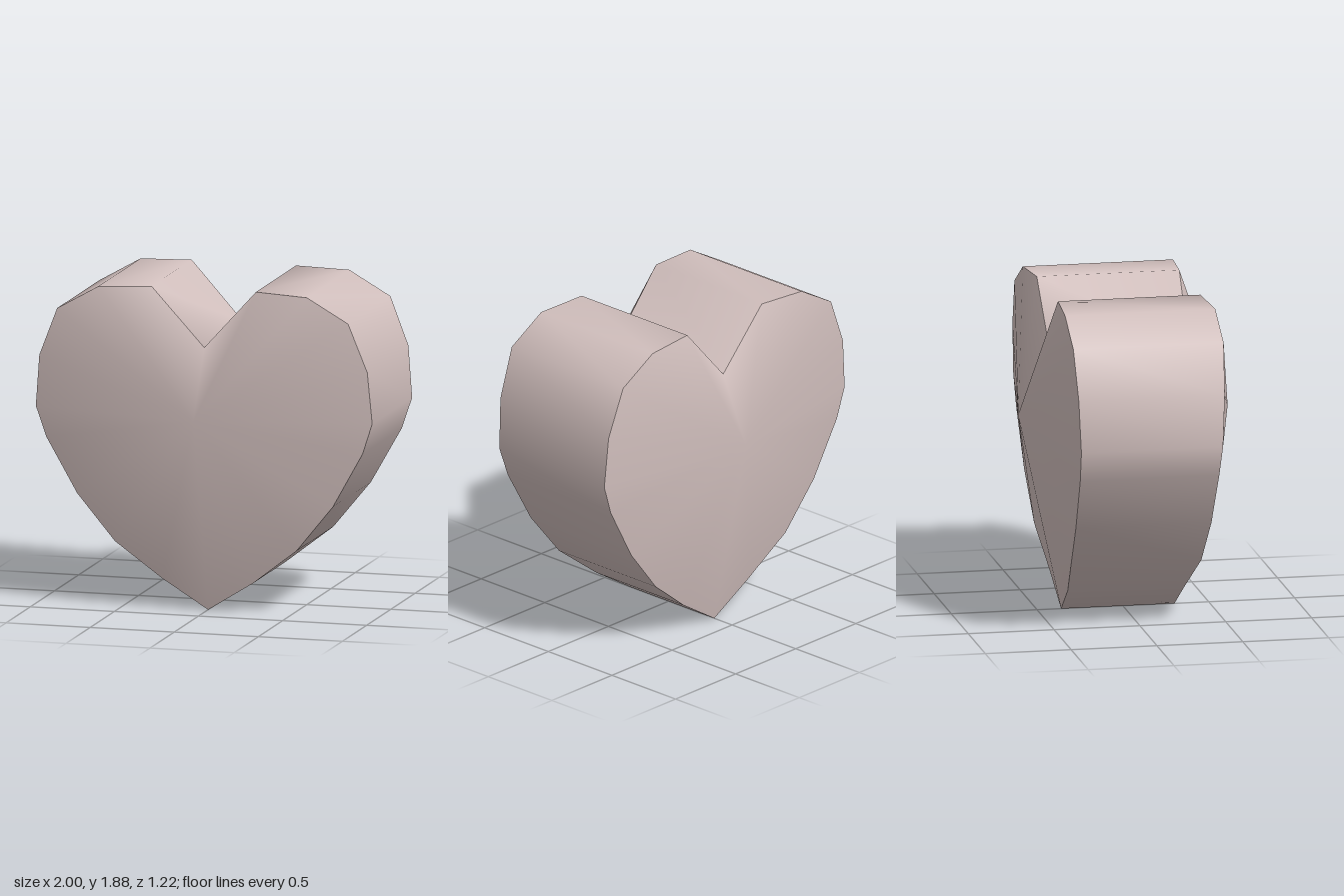
import * as THREE from 'three';

// Right half of the rim from bottom tip to notch: x, y, front z, back z
const half = [
  [0, 0, 0.3, -0.36],
  [0.27, 0.17, 0.31, -0.375],
  [0.54, 0.38, 0.35, -0.41],
  [0.76, 0.65, 0.365, -0.425],
  [0.94, 0.97, 0.375, -0.435],
  [1.0, 1.15, 0.385, -0.44],
  [0.975, 1.45, 0.4, -0.45],
  [0.865, 1.73, 0.415, -0.46],
  [0.62, 1.87, 0.415, -0.46],
  [0.31, 1.882, 0.39, -0.44],
  [0, 1.54, 0.38, -0.43],
];
const mirrored = half.slice(1, -1).reverse().map(([x, y, f, b]) => [-x, y, f, b]);
const rim = [...half, ...mirrored];
const n = rim.length;

function makeGeometry(points, index) {
  const geometry = new THREE.BufferGeometry();
  geometry.setAttribute('position', new THREE.Float32BufferAttribute(points.flat(), 3));
  geometry.setIndex(index);
  geometry.computeVertexNormals();
  return geometry;
}

// Shallow pointed face: a fan from the apex to the rim
function capGeometry(side) {
  const points = [[0, 1.15, 0.61 * side]];
  const index = [];
  rim.forEach(([x, y, front, back], i) => {
    points.push([x, y, side > 0 ? front : back]);
    const a = 1 + i, b = 1 + (i + 1) % n;
    index.push(0, ...(side > 0 ? [a, b] : [b, a]));
  });
  return makeGeometry(points, index);
}

// Smooth wall joining the two rims
function wallGeometry() {
  const points = [];
  const index = [];
  rim.forEach(([x, y, front, back], i) => {
    points.push([x, y, front], [x, y, back]);
    const a = 2 * i, b = 2 * ((i + 1) % n);
    index.push(a, a + 1, b, a + 1, b + 1, b);
  });
  return makeGeometry(points, index);
}

export function createModel() {
  const heart = new THREE.Group();
  heart.name = 'heart';
  const material = new THREE.MeshStandardMaterial({ color: 0xd1bfbd });
  material.name = 'pale rose grey';

  const add = (name, geometry) => {
    const mesh = new THREE.Mesh(geometry, material);
    mesh.name = name;
    heart.add(mesh);
  };
  add('frontFace', capGeometry(1));
  add('backFace', capGeometry(-1));
  add('sideWall', wallGeometry());
  return heart;
}
